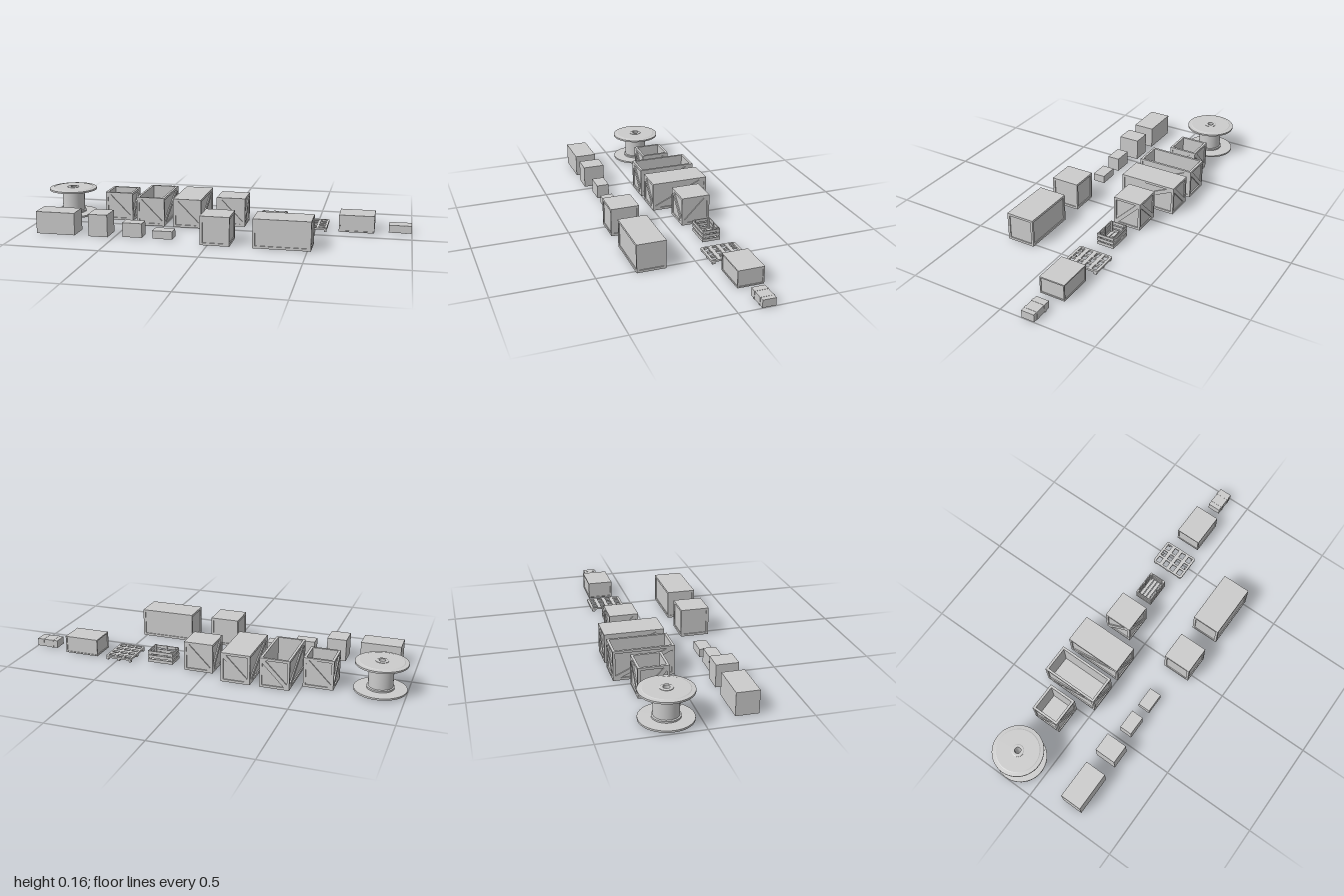
import * as THREE from 'three';

const mat = new THREE.MeshStandardMaterial({ color: 0xcccccc, side: THREE.DoubleSide });

function mesh(geometry, name, parent, x = 0, y = 0, z = 0) {
  const m = new THREE.Mesh(geometry, mat);
  m.name = name;
  m.position.set(x, y, z);
  parent.add(m);
  return m;
}

// box resting on height y
const box = (parent, name, w, h, d, x = 0, y = 0, z = 0) =>
  mesh(new THREE.BoxGeometry(w, h, d), name, parent, x, y + h / 2, z);

function group(root, name, x, z) {
  const g = new THREE.Group();
  g.name = name;
  g.position.set(x, 0, z);
  root.add(g);
  return g;
}

function polygon(points, Type = THREE.Shape) {
  return new Type(points.map(([x, y]) => new THREE.Vector2(x, y)));
}

// rectangular side frame, optionally with a diagonal plank (dir = 1 rises to the right)
function frameGeometry(w, h, border, depth, dir, plank = 0.021) {
  const a = w / 2 - border, b = h / 2 - border;
  const shape = polygon([[-w / 2, -h / 2], [w / 2, -h / 2], [w / 2, h / 2], [-w / 2, h / 2]]);
  if (dir) {
    const angle = Math.atan2(b, a);
    const dx = plank / 2 / Math.sin(angle), dy = plank / 2 / Math.cos(angle);
    for (const s of [1, -1]) {
      shape.holes.push(polygon([[-a * s * dir, b * s], [(a - dx) * s * dir, b * s],
        [-a * s * dir, (-b + dy) * s]], THREE.Path));
    }
  } else {
    shape.holes.push(polygon([[-a, -b], [-a, b], [a, b], [a, -b]], THREE.Path));
  }
  return new THREE.ExtrudeGeometry(shape, { depth, bevelEnabled: false });
}

// box with framed sides; open ones have thin walls and a floor
function framedBox(root, name, x, z, w, h, d, { border = 0.012, t = 0.005, diagonal = false, open = false }) {
  const g = group(root, name, x, z);
  const wall = border - t;
  if (open) {
    box(g, 'floor', w - 2 * t, border, d - 2 * t);
    for (const s of [1, -1]) {
      box(g, 'sideWall', wall, h, d - 2 * t, s * (w / 2 - t - wall / 2));
      box(g, 'endWall', w - 2 * t, h, wall, 0, 0, s * (d / 2 - t - wall / 2));
    }
  } else {
    box(g, 'body', w - 2 * t, h, d - 2 * t);
  }
  for (let i = 0; i < 4; i++) {
    const side = i % 2 === 1;
    const width = side ? d : w, reach = (side ? w : d) / 2 - t;
    const angle = i * Math.PI / 2;
    const frame = mesh(frameGeometry(width, h, border, t, diagonal ? (side ? 1 : -1) : 0),
      side ? 'sideFrame' : 'endFrame', g, Math.sin(angle) * reach, h / 2, Math.cos(angle) * reach);
    frame.rotation.y = angle;
  }
  return g;
}

// cable spool: two rimmed flanges on a hub with a bore through it
function spool(root, x, z) {
  const g = group(root, 'cableSpool', x, z);
  const half = [[0.016, 0.081], [0.028, 0.081], [0.032, 0.079], [0.032, 0.077], [0.108, 0.077],
    [0.112, 0.075], [0.13, 0.073], [0.13, 0.064], [0.068, 0.062], [0.068, 0.054], [0.061, 0.051]];
  const all = [...half, ...half.slice().reverse().map(([r, y]) => [r, -y]), half[0]];
  const points = all.map(([r, y]) => new THREE.Vector2(r, y)).reverse();
  // split each segment so edges stay crisp while the round stays smooth
  for (let i = 0; i < points.length - 1; i++) {
    mesh(new THREE.LatheGeometry([points[i], points[i + 1]], 48), 'spoolSurface', g, 0, 0.081, 0);
  }
}

// open basket: corner posts with slatted sides and floor
function basket(root, x, z, w, h, d) {
  const g = group(root, 'slattedBasket', x, z);
  const t = 0.005, post = 0.009;
  for (const sx of [1, -1]) {
    for (const sz of [1, -1]) {
      box(g, 'cornerPost', post, h, post, sx * (w / 2 - t - post / 2), 0, sz * (d / 2 - t - post / 2));
    }
    box(g, 'middlePost', post, h, 0.004, 0, 0, sx * (d / 2 - t - 0.002));
  }
  for (let i = 0; i < 3; i++) {
    const y = 0.003 + i * 0.0225;
    for (const s of [1, -1]) {
      box(g, 'longSlat', w, 0.016, t, 0, y, s * (d / 2 - t / 2));
      box(g, 'endSlat', t, 0.016, d - 2 * t, s * (w / 2 - t / 2), y);
    }
  }
  for (let i = 0; i < 4; i++) {
    box(g, 'floorSlat', w - 2 * t, 0.005, 0.017, 0, 0.003, (i - 1.5) * 0.021);
  }
}

// pallet: rounded lattice deck on small feet
function pallet(root, x, z, w, h, d) {
  const g = group(root, 'pallet', x, z);
  const a = w / 2, b = d / 2, r = 0.012, deckHeight = 0.01;
  const deck = new THREE.Shape();
  deck.absarc(a - r, b - r, r, 0, Math.PI / 2);
  deck.absarc(-a + r, b - r, r, Math.PI / 2, Math.PI);
  deck.absarc(-a + r, -b + r, r, Math.PI, Math.PI * 1.5);
  deck.absarc(a - r, -b + r, r, Math.PI * 1.5, Math.PI * 2);
  const hw = 0.0165, hd = 0.0125;
  for (let i = -1; i <= 1; i++) {
    for (let j = -1.5; j <= 1.5; j++) {
      const cx = i * 0.0445, cz = j * 0.045;
      deck.holes.push(polygon([[cx - hw, cz - hd], [cx - hw, cz + hd],
        [cx + hw, cz + hd], [cx + hw, cz - hd]], THREE.Path));
    }
  }
  const geometry = new THREE.ExtrudeGeometry(deck, { depth: deckHeight, bevelEnabled: false, curveSegments: 5 });
  geometry.rotateX(-Math.PI / 2);
  mesh(geometry, 'deck', g, 0, h - deckHeight, 0);
  for (let i = -1; i <= 1; i++) {
    for (let j = -1; j <= 1; j++) {
      box(g, 'foot', 0.012, h - deckHeight, 0.016, i * (a - 0.008), 0, j * (b - 0.014));
    }
  }
}

// small case with two raised straps
function strappedCase(root, x, z, w, h, d) {
  const g = group(root, 'strappedCase', x, z);
  box(g, 'body', w, h - 0.002, d - 0.004, 0, 0.001);
  for (const s of [1, -1]) box(g, 'strap', 0.014, h, d, s * w * 0.24);
}

export function createModel() {
  const root = new THREE.Group();
  root.name = 'cargoSet';

  // back row
  spool(root, -0.87, -0.153);
  const planks = { border: 0.0125, t: 0.006, diagonal: true };
  framedBox(root, 'openCrate', -0.578, -0.154, 0.152, 0.154, 0.152, { ...planks, open: true });
  framedBox(root, 'longOpenCrate', -0.377, -0.151, 0.152, 0.154, 0.305, { ...planks, open: true });
  framedBox(root, 'longClosedCrate', -0.176, -0.151, 0.152, 0.154, 0.305, planks);
  framedBox(root, 'closedCrate', 0.046, -0.154, 0.154, 0.154, 0.152, planks);
  basket(root, 0.269, -0.153, 0.138, 0.068, 0.094);
  pallet(root, 0.49, -0.151, 0.144, 0.022, 0.186);
  framedBox(root, 'chest', 0.715, -0.152, 0.184, 0.091, 0.135, { border: 0.007, t: 0.004 });
  strappedCase(root, 0.94, -0.151, 0.118, 0.042, 0.072);

  // front row: plain boxes
  const plain = [
    [-0.815, 0.208, 0.208, 0.117, 0.114],
    [-0.584, 0.208, 0.102, 0.117, 0.114],
    [-0.408, 0.208, 0.104, 0.075, 0.066],
    [-0.248, 0.208, 0.104, 0.042, 0.066],
  ];
  for (const [x, z, w, h, d] of plain) box(root, 'plainBox', w, h, d, x, 0, z);

  // front row: framed containers
  framedBox(root, 'cubeContainer', 0.038, 0.229, 0.15, 0.15, 0.15, { border: 0.0125 });
  framedBox(root, 'longContainer', 0.373, 0.229, 0.29, 0.15, 0.15, { border: 0.0125 });
  return root;
}
